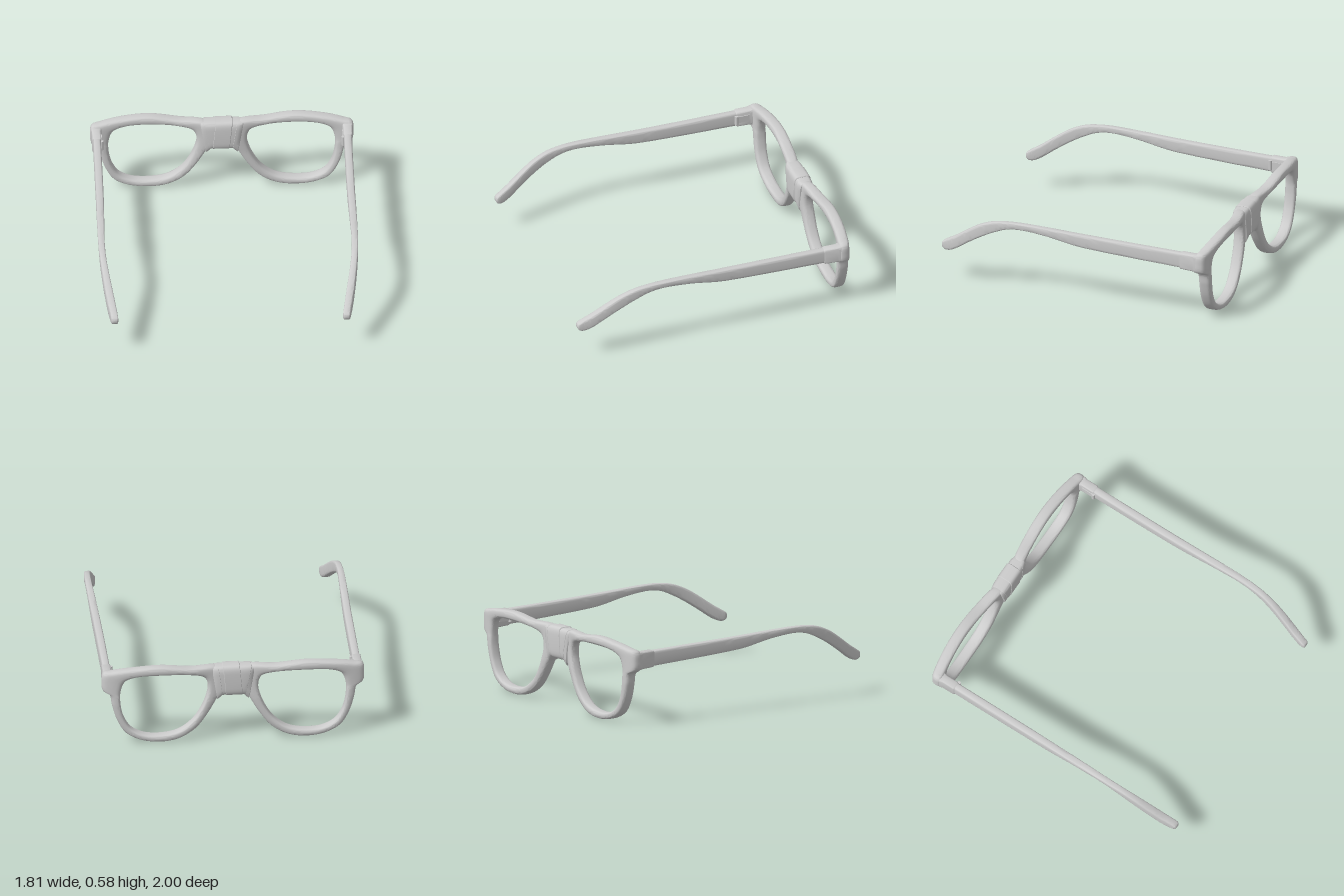
import * as THREE from 'three';
import { toCreasedNormals } from 'three/addons/utils/BufferGeometryUtils.js';

const material = new THREE.MeshStandardMaterial({ color: 0xcccccc });
const V = (x, y, z) => new THREE.Vector3(x, y, z);

// Rounded-square section: n points [u, v] in -1..1
function section(n, power) {
  const f = (c) => Math.sign(c) * Math.pow(Math.abs(c), 2 / power);
  return Array.from({ length: n }, (_, i) => {
    const a = (i / n) * Math.PI * 2;
    return [f(Math.cos(a)), f(Math.sin(a))];
  });
}

// Skin over rings of points, either closed into a loop or capped at both ends
function loft(name, rings, closed = false, crease = 0.7) {
  const n = rings[0].length, m = rings.length;
  const pts = rings.flat(), faces = [];
  for (let i = 0; i < (closed ? m : m - 1); i++) {
    for (let j = 0; j < n; j++) {
      const k = (j + 1) % n, r = ((i + 1) % m) * n;
      const a = i * n + j, b = i * n + k, c = r + k, d = r + j;
      faces.push([a, b, c], [a, c, d]);
    }
  }
  if (!closed) {
    for (const [i, flip] of [[0, true], [m - 1, false]]) {
      const mid = rings[i].reduce((s, p) => s.add(p), V(0, 0, 0)).divideScalar(n);
      const c = pts.push(mid) - 1;
      for (let j = 0; j < n; j++) {
        const a = i * n + j, b = i * n + ((j + 1) % n);
        faces.push(flip ? [c, b, a] : [c, a, b]);
      }
    }
  }
  // Turn the faces outwards
  let volume = 0;
  const cross = V(0, 0, 0);
  for (const [a, b, c] of faces) volume += cross.crossVectors(pts[b], pts[c]).dot(pts[a]);
  if (volume < 0) faces.forEach((f) => f.reverse());
  const geo = new THREE.BufferGeometry().setFromPoints(pts);
  geo.setIndex(faces.flat());
  const mesh = new THREE.Mesh(toCreasedNormals(geo, crease), material);
  mesh.name = name;
  return mesh;
}

// Rim outline as matching pairs: outer x, y, inner x, y
const RIM = [
  [0.5, 0.58, 0.5, 0.517], [0.7, 0.565, 0.66, 0.508], [0.83, 0.543, 0.735, 0.48],
  [0.893, 0.525, 0.757, 0.45], [0.903, 0.46, 0.77, 0.41], [0.895, 0.4, 0.776, 0.375],
  [0.85, 0.37, 0.777, 0.345], [0.833, 0.29, 0.772, 0.28], [0.8, 0.18, 0.75, 0.19],
  [0.74, 0.08, 0.7, 0.11], [0.64, 0.025, 0.615, 0.065], [0.5, 0.004, 0.5, 0.055],
  [0.37, 0.025, 0.375, 0.08], [0.26, 0.09, 0.28, 0.15], [0.18, 0.19, 0.22, 0.24],
  [0.115, 0.3, 0.182, 0.34], [0.08, 0.36, 0.173, 0.4], [0.07, 0.48, 0.182, 0.45],
  [0.1, 0.545, 0.205, 0.48], [0.3, 0.557, 0.3, 0.507],
];

// Front surface bows forward at the middle of each eye
const bow = (x, y) => -0.96 + 0.25 * (x - 0.5) ** 2 + 0.015 * Math.max(0, 1 - y / 0.3);

function rim(side) {
  const curve = (k) => new THREE.CatmullRomCurve3(RIM.map((p) => V(p[k], p[k + 1], 0)), true, 'centripetal');
  const outer = curve(0), inner = curve(2), steps = 160;
  const shape = section(24, 3.2);
  const rings = [];
  for (let i = 0; i < steps; i++) {
    const o = outer.getPoint(i / steps), q = inner.getPoint(i / steps);
    rings.push(shape.map(([u, v]) => {
      const p = q.clone().lerp(o, (u + 1) / 2);
      return V(side * p.x, p.y, bow(p.x, p.y) + v * 0.04);
    }));
  }
  return loft(side > 0 ? 'leftRim' : 'rightRim', rings, true, 0.8);
}

// Temple stations: z, low y, high y, inner x, outer x
const TEMPLE = [
  [-0.8, 0.41, 0.518, 0.832, 0.886], [-0.4, 0.425, 0.525, 0.832, 0.887],
  [-0.1, 0.44, 0.532, 0.834, 0.888], [0, 0.45, 0.535, 0.836, 0.889],
  [0.2, 0.486, 0.542, 0.84, 0.89], [0.4, 0.502, 0.546, 0.845, 0.89],
  [0.5, 0.488, 0.541, 0.844, 0.888], [0.6, 0.447, 0.525, 0.838, 0.883],
  [0.7, 0.392, 0.485, 0.824, 0.873], [0.8, 0.327, 0.422, 0.804, 0.858],
  [0.9, 0.258, 0.352, 0.783, 0.838], [0.95, 0.237, 0.322, 0.774, 0.826],
  [0.98, 0.24, 0.303, 0.77, 0.82], [0.995, 0.253, 0.291, 0.773, 0.815],
  [1.0, 0.268, 0.28, 0.784, 0.805],
];

function temple(side) {
  const low = new THREE.CatmullRomCurve3(TEMPLE.map((s) => V(s[3], s[1], s[0])), false, 'centripetal');
  const high = new THREE.CatmullRomCurve3(TEMPLE.map((s) => V(s[4], s[2], s[0])), false, 'centripetal');
  const shape = section(24, 5);
  const rings = [];
  for (let i = 0; i <= 84; i++) {
    const a = low.getPoint(i / 84), b = high.getPoint(i / 84);
    rings.push(shape.map(([u, v]) => V(
      side * THREE.MathUtils.lerp(a.x, b.x, (u + 1) / 2),
      THREE.MathUtils.lerp(a.y, b.y, (v + 1) / 2),
      (a.z + b.z) / 2)));
  }
  return loft('templeArm', rings);
}

// End piece joining rim and temple
function endPiece(side) {
  const shape = section(24, 7);
  const stations = [[-0.93, 0.4, 0.525, 0.82, 0.898], [-0.885, 0.397, 0.523, 0.825, 0.897],
    [-0.872, 0.4, 0.52, 0.828, 0.892], [-0.785, 0.405, 0.522, 0.828, 0.892], [-0.775, 0.41, 0.517, 0.834, 0.886]];
  return loft('endPiece', stations.map(([z, y0, y1, x0, x1]) => shape.map(([u, v]) =>
    V(side * ((x0 + x1) / 2 + u * (x1 - x0) / 2), (y0 + y1) / 2 + v * (y1 - y0) / 2, z))));
}

// Tape band round the bridge; stations: top x, bottom x, low y, high y, half depth
function tape(name, stations) {
  const shape = section(32, 4.5);
  const at = ([xt, xb, lo, hi, d], inset) => shape.map(([u, v]) => V(
    THREE.MathUtils.lerp(xb, xt, (v + 1) / 2),
    (lo + hi) / 2 + v * ((hi - lo) / 2 - inset),
    -0.924 + u * (d - inset)));
  const first = stations[0], last = stations[stations.length - 1];
  const nudge = (s, dx) => [s[0] + dx, s[1] + dx, ...s.slice(2)];
  return loft(name, [at(first, 0.005), at(nudge(first, 0.004), 0),
    ...stations.slice(1, -1).map((s) => at(s, 0)),
    at(nudge(last, -0.004), 0), at(last, 0.005)]);
}

export function createModel() {
  const model = new THREE.Group();
  model.name = 'glasses';

  for (const side of [1, -1]) {
    model.add(rim(side));
    const arm = new THREE.Group();
    arm.name = side > 0 ? 'leftTemple' : 'rightTemple';
    arm.add(temple(side), endPiece(side));

    // Hinge barrel and leaf on the inside
    const barrel = new THREE.Mesh(new THREE.CylinderGeometry(0.013, 0.013, 0.07, 16), material);
    barrel.name = 'hingeBarrel';
    barrel.position.set(side * 0.827, 0.465, -0.777);
    const leaf = new THREE.Mesh(new THREE.BoxGeometry(0.012, 0.05, 0.1), material);
    leaf.name = 'hingeLeaf';
    leaf.position.set(side * 0.829, 0.465, -0.82);
    arm.add(barrel, leaf);
    model.add(arm);
  }

  // Taped bridge of overlapping slanted bands
  const bridge = new THREE.Group();
  bridge.name = 'tapedBridge';
  bridge.add(
    tape('tapeLeftOuter', [[-0.148, -0.108, 0.302, 0.552, 0.05], [-0.12, -0.08, 0.328, 0.553, 0.055], [-0.095, -0.07, 0.336, 0.553, 0.056]]),
    tape('tapeLeftInner', [[-0.128, -0.085, 0.33, 0.555, 0.056], [-0.09, -0.07, 0.337, 0.556, 0.059], [-0.03, -0.05, 0.34, 0.556, 0.059]]),
    tape('tapeCentre', [[-0.045, -0.066, 0.335, 0.561, 0.062], [0.073, 0.052, 0.335, 0.561, 0.062]]),
    tape('tapeRightInner', [[0.06, 0.04, 0.339, 0.555, 0.058], [0.11, 0.082, 0.334, 0.554, 0.056]]),
    tape('tapeRightOuter', [[0.1, 0.07, 0.336, 0.554, 0.058], [0.12, 0.085, 0.325, 0.554, 0.056], [0.148, 0.11, 0.302, 0.552, 0.05]]),
  );
  model.add(bridge);
  return model;
}
